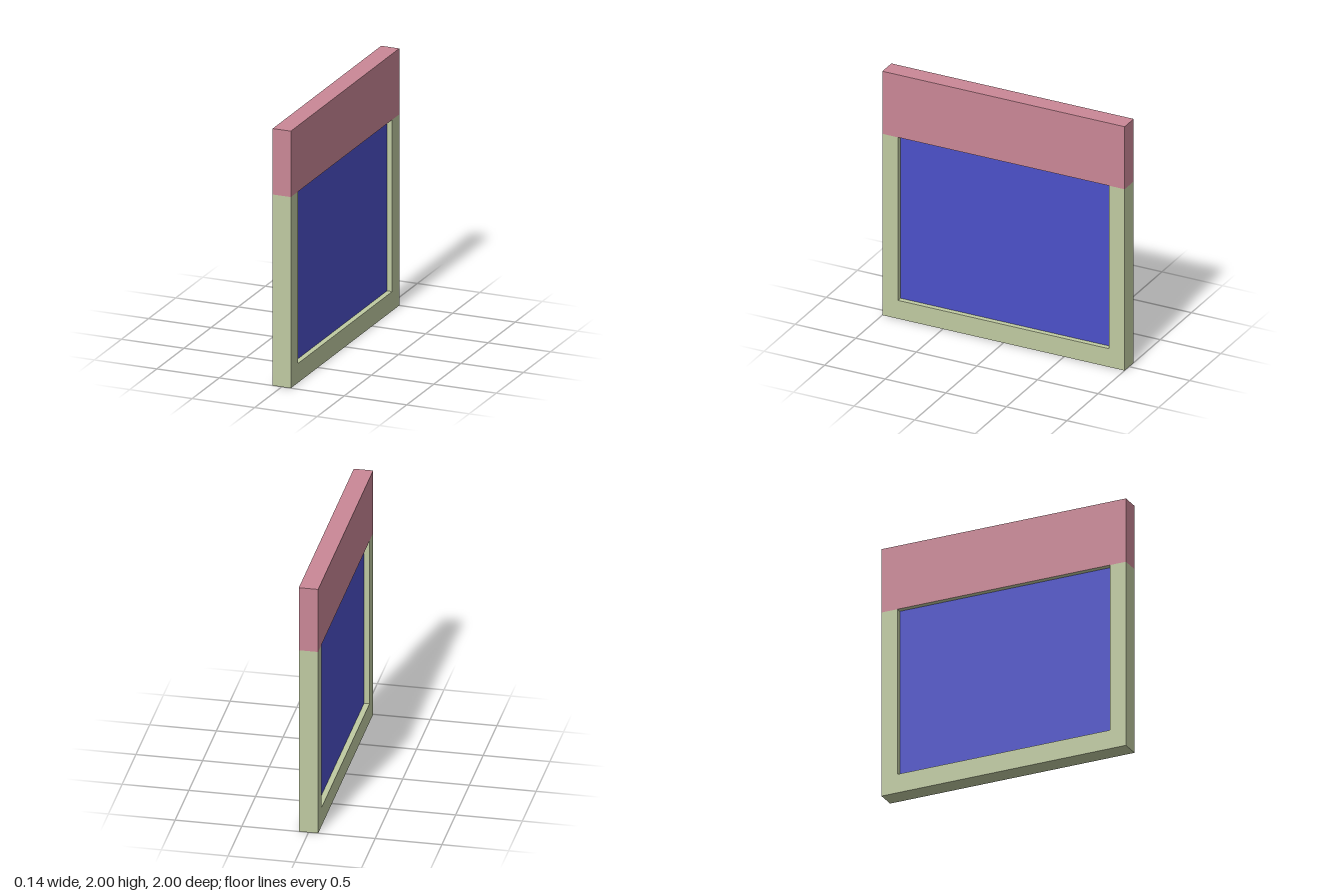
import * as THREE from 'three';

const DEPTH = 0.145;       // frame thickness along x
const PANEL_DEPTH = 0.062; // pane sits recessed on both sides
const INNER = 0.87;        // half width of the opening
const SILL = 0.15;         // bottom of the opening
const HEAD = 1.487;        // top of the opening

export function createModel() {
  const model = new THREE.Group();
  const paint = (color) => new THREE.MeshStandardMaterial({ color });
  const green = paint(0xbfcaa1);
  const pink = paint(0xca8796);
  const blue = paint(0x4c50c8);

  const add = (name, geometry, material, y = 0) => {
    const mesh = new THREE.Mesh(geometry, material);
    mesh.name = name;
    mesh.position.y = y;
    model.add(mesh);
  };

  // U-shaped frame: two stiles and the bottom rail
  const outline = new THREE.Shape([
    [-1, 0], [1, 0], [1, HEAD], [INNER, HEAD],
    [INNER, SILL], [-INNER, SILL], [-INNER, HEAD], [-1, HEAD],
  ].map(([z, y]) => new THREE.Vector2(z, y)));
  const frame = new THREE.ExtrudeGeometry(outline, { depth: DEPTH, bevelEnabled: false });
  frame.translate(0, 0, -DEPTH / 2).rotateY(Math.PI / 2);
  add('frame', frame, green);

  // Header across the top, its underside in the frame colour
  add('header', new THREE.BoxGeometry(DEPTH, 2 - HEAD, 2),
    [pink, pink, pink, green, pink, pink], (2 + HEAD) / 2);

  // Recessed pane
  add('pane', new THREE.BoxGeometry(PANEL_DEPTH, HEAD - SILL, INNER * 2), blue, (HEAD + SILL) / 2);

  return model;
}
